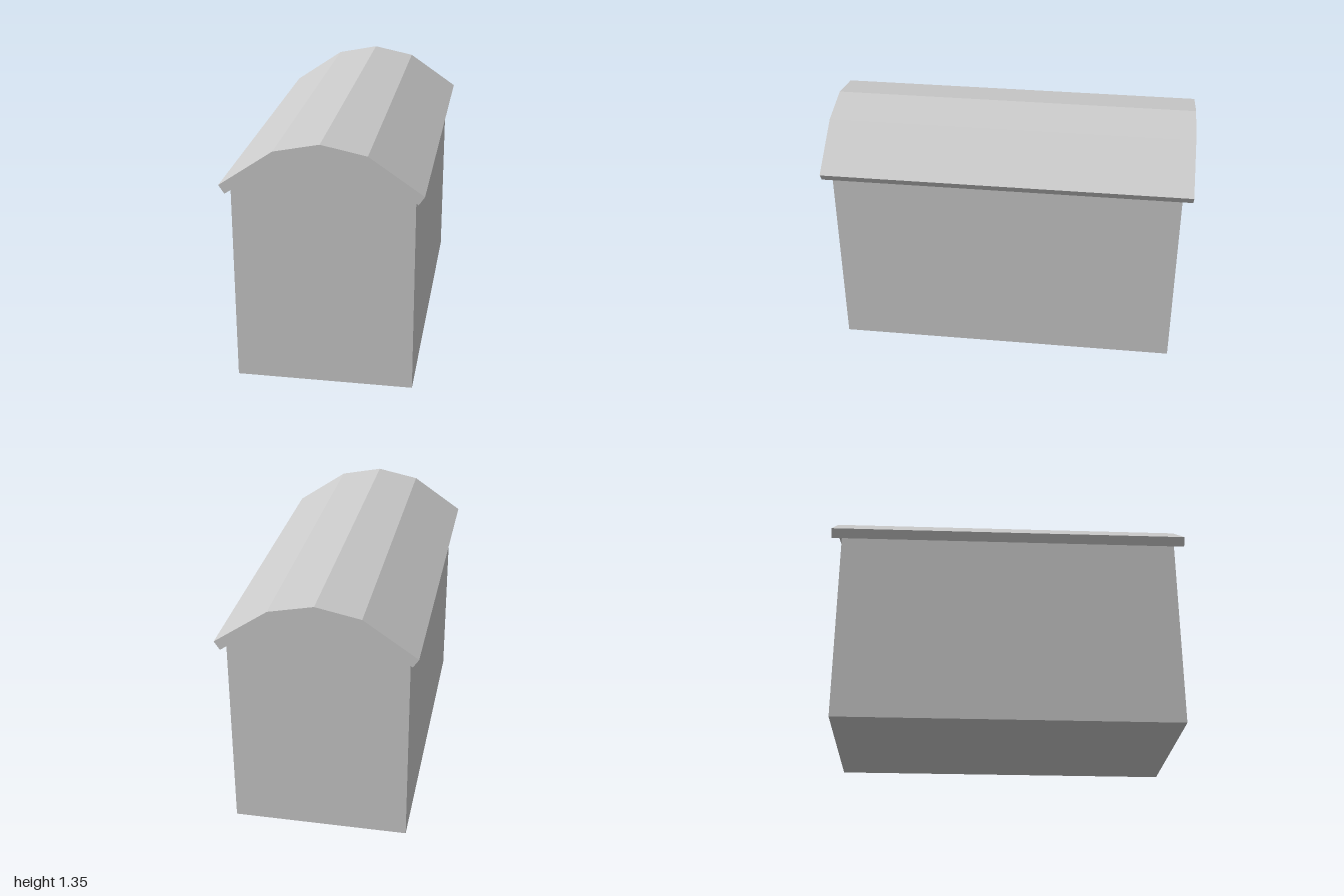
import * as THREE from 'three';

const material = new THREE.MeshStandardMaterial({ color: 0xcccccc, flatShading: true });

// Extrude an x-y outline along z, centred on z = 0
function prism(name, outline, length) {
  const shape = new THREE.Shape(outline.map(([x, y]) => new THREE.Vector2(x, y)));
  const geometry = new THREE.ExtrudeGeometry(shape, { depth: length, bevelEnabled: false });
  geometry.translate(0, 0, -length / 2);
  const mesh = new THREE.Mesh(geometry, material);
  mesh.name = name;
  return mesh;
}

// Complete a right-to-centre half profile with its mirror image
function mirrored(half) {
  const left = half.slice(0, -1).reverse().map(([x, y]) => [-x, y]);
  return [...half, ...left];
}

export function createModel() {
  const group = new THREE.Group();
  group.name = 'shed';

  // Roof profiles: eave, break and ridge
  const outer = mirrored([[0.517, 1.11], [0.236, 1.302], [0, 1.35]]);
  const inner = mirrored([[0.487, 1.065], [0.212, 1.252], [0, 1.296]]);

  // Solid body with gable ends meeting the underside of the roof
  const body = mirrored([[0.47, 0], [0.47, 1.077], [0.212, 1.252], [0, 1.296]]);
  group.add(prism('body', body, 1.89));

  // Roof slab overhanging on all sides
  group.add(prism('roof', [...outer, ...inner.reverse()], 2));

  return group;
}
